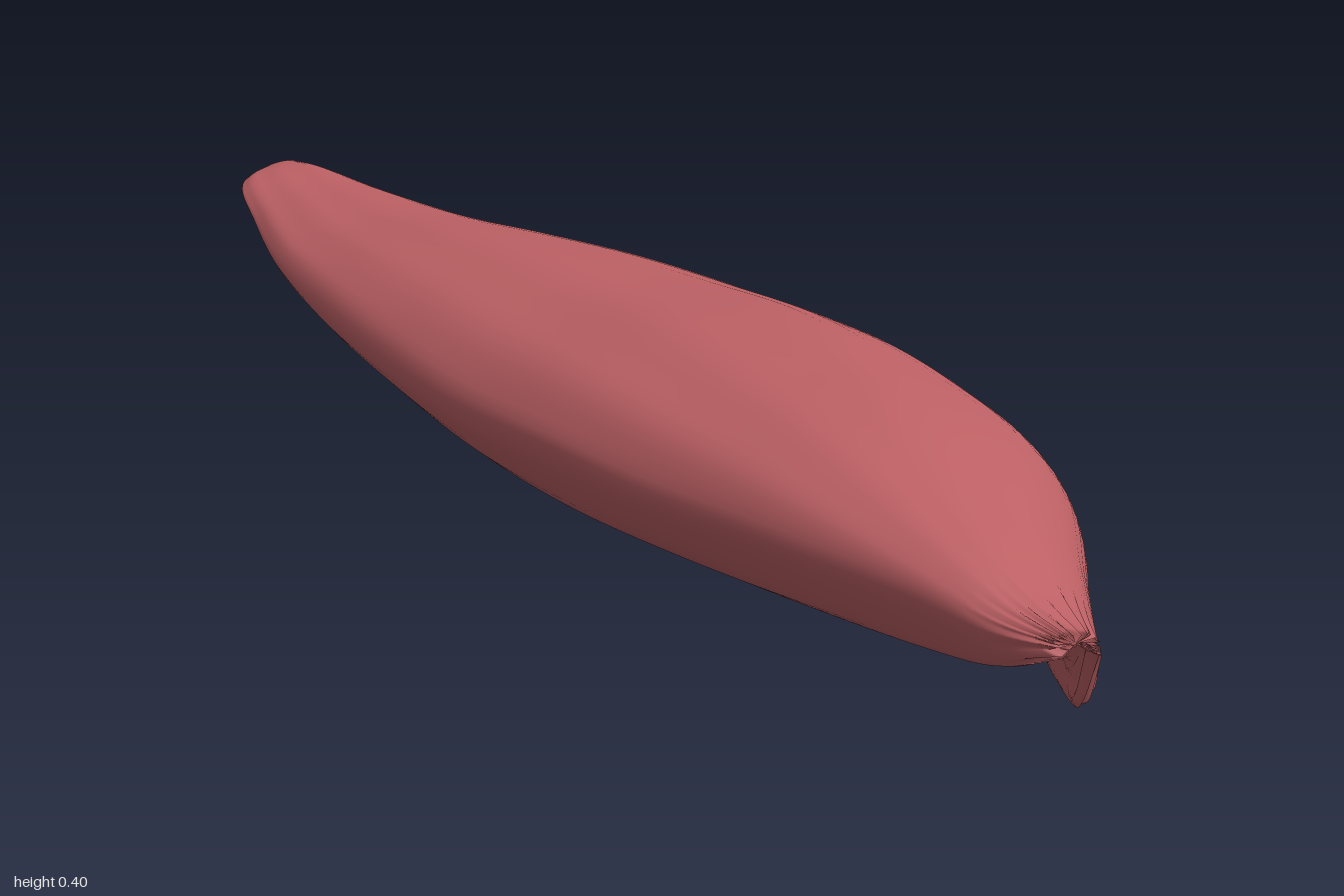
import * as THREE from 'three';

const flesh = new THREE.MeshStandardMaterial({ color: 0xbc6064 });
flesh.name = 'muscle red';

// Stations along the belly: z, side L (x,y), crown (x,y), side R (x,y), lip R (x,y), lip L (x,y)
const stations = [
  [-1.0, 0.08, 0.366, 0.11, 0.372, 0.13, 0.366, 0.125, 0.361, 0.085, 0.362],
  [-0.94, 0.00, 0.36, 0.09, 0.376, 0.145, 0.356, 0.13, 0.342, 0.01, 0.35],
  [-0.8, -0.07, 0.345, 0.05, 0.373, 0.165, 0.335, 0.14, 0.3, -0.05, 0.33],
  [-0.6, -0.16, 0.33, 0.0, 0.379, 0.2, 0.3, 0.16, 0.235, -0.13, 0.31],
  [-0.4, -0.22, 0.31, -0.02, 0.393, 0.24, 0.265, 0.19, 0.165, -0.18, 0.275],
  [-0.2, -0.26, 0.29, -0.02, 0.398, 0.28, 0.24, 0.2, 0.1, -0.21, 0.24],
  [0.0, -0.29, 0.275, -0.02, 0.396, 0.305, 0.21, 0.19, 0.035, -0.235, 0.21],
  [0.2, -0.305, 0.27, -0.03, 0.398, 0.295, 0.19, 0.155, 0.004, -0.245, 0.19],
  [0.4, -0.305, 0.26, -0.06, 0.384, 0.25, 0.18, 0.14, 0.04, -0.24, 0.18],
  [0.6, -0.29, 0.255, -0.1, 0.357, 0.18, 0.17, 0.1, 0.092, -0.235, 0.175],
  [0.8, -0.26, 0.24, -0.16, 0.3, 0.02, 0.17, -0.03, 0.1, -0.225, 0.172],
  [0.92, -0.235, 0.22, -0.18, 0.255, -0.075, 0.16, -0.1, 0.108, -0.218, 0.178],
  [1.0, -0.205, 0.215, -0.18, 0.226, -0.145, 0.207, -0.145, 0.196, -0.2, 0.203],
];
const mix = THREE.MathUtils.lerp;
const ROWS = 96, COLS = 72;

// Closed crescent section: domed above, hollow below, with two turned-in lips
function section([L, T, R, lipR, lipL]) {
  const pts = [];
  const add = (x, y) => pts.push(new THREE.Vector3(x, y, T.z));
  const arc = (side, deg) => {
    const a = THREE.MathUtils.degToRad(deg);
    add(mix(T.x, side.x, Math.cos(a)), mix(side.y, T.y, Math.sin(a)));
  };
  [0, 30, 60].forEach((d) => arc(L, d));
  add(T.x, T.y);
  [60, 32, 0].forEach((d) => arc(R, d));
  add(mix(R.x, lipR.x, 0.32), mix(R.y, lipR.y, 0.65));
  add(lipR.x, lipR.y);
  const roof = mix(T.y, (lipR.y + lipL.y) / 2, 0.42);
  add(mix(lipR.x, lipL.x, 0.12), mix(lipR.y, roof, 0.5));
  add(mix(lipR.x, lipL.x, 0.32), mix(lipR.y, roof, 0.88));
  add(mix(lipR.x, lipL.x, 0.58), roof);
  add(mix(lipR.x, lipL.x, 0.85), mix(lipL.y, roof, 0.65));
  add(lipL.x, lipL.y);
  return new THREE.CatmullRomCurve3(pts, true);
}

function bellyGeometry() {
  // Five lengthwise rails join matching points of the stations
  const rails = [0, 1, 2, 3, 4].map((k) => new THREE.CatmullRomCurve3(
    stations.map((s) => new THREE.Vector3(s[1 + 2 * k], s[2 + 2 * k], s[0])), false, 'catmullrom', 0.5));
  const pos = [], index = [];
  for (let i = 0; i <= ROWS; i++) {
    const curve = section(rails.map((r) => r.getPoint(i / ROWS)));
    const z = rails[1].getPoint(i / ROWS).z;
    const fade = Math.sin(Math.PI * i / ROWS);
    const torn = Math.max(0, (z - 0.88) / 0.12);
    for (let j = 0; j < COLS; j++) {
      const p = curve.getPoint(j / COLS);
      // Shallow slanting fibres, and a ragged front end
      const ripple = 0.0018 * fade * Math.sin(j * 1.05 + z * 5);
      const rag = 0.012 * torn * (Math.sin(j * 2.3) - 1);
      pos.push(p.x, p.y + ripple, z + rag);
    }
  }
  for (let i = 0; i < ROWS; i++) {
    for (let j = 0; j < COLS; j++) {
      const k = (j + 1) % COLS;
      const a = i * COLS + j, b = i * COLS + k, c = a + COLS, d = b + COLS;
      index.push(a, c, b, b, c, d);
    }
  }
  // Close both ends with fans
  for (const row of [0, ROWS]) {
    const start = row * COLS, hub = pos.length / 3, mid = [0, 0, 0];
    for (let j = 0; j < COLS * 3; j++) mid[j % 3] += pos[start * 3 + j] / COLS;
    pos.push(...mid);
    for (let j = 0; j < COLS; j++) {
      const a = start + j, b = start + (j + 1) % COLS;
      index.push(hub, row ? b : a, row ? a : b);
    }
  }
  const geo = new THREE.BufferGeometry();
  geo.setAttribute('position', new THREE.Float32BufferAttribute(pos, 3));
  geo.setIndex(index);
  geo.computeVertexNormals();
  return geo;
}

export function createModel() {
  const group = new THREE.Group();
  group.name = 'muscle';
  const belly = new THREE.Mesh(bellyGeometry(), flesh);
  belly.name = 'muscleBelly';
  group.add(belly);
  return group;
}
